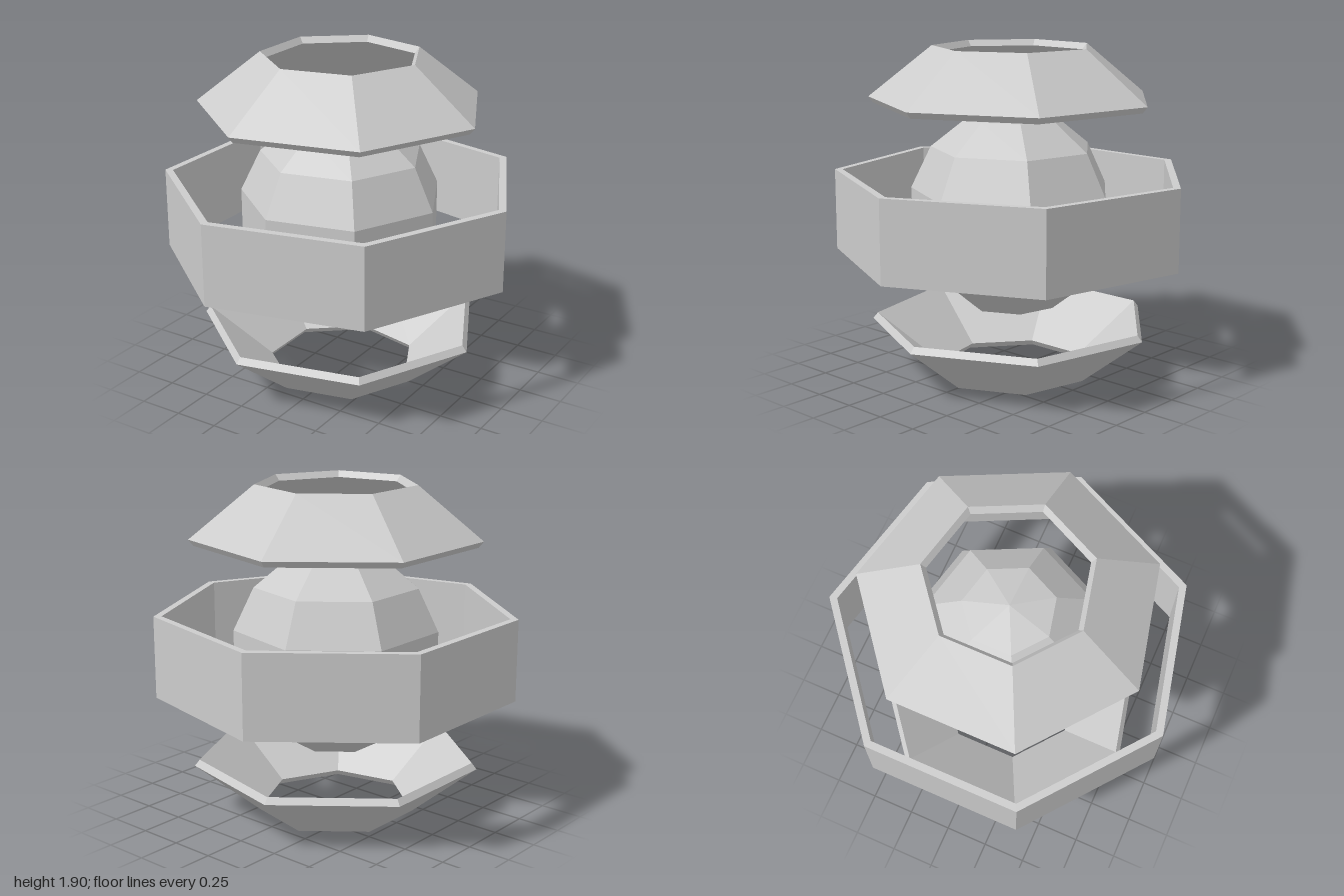
import * as THREE from 'three';

const SIDES = 7;              // everything is a seven-sided, seven-step sphere
const STEP = Math.PI / SIDES;
const SHELL_RADIUS = 1.052;
const CORE_RADIUS = 0.6;
const THICKNESS = 0.045;
const CENTRE_X = -0.05;       // a heptagon's axis is off the middle of its bounds

export function createModel() {
  const model = new THREE.Group();
  model.name = 'shelledSphere';
  const material = new THREE.MeshStandardMaterial({ color: 0xcccccc, flatShading: true });
  const centreY = SHELL_RADIUS * Math.cos(STEP);

  const add = (name, geometry) => {
    const mesh = new THREE.Mesh(geometry, material);
    mesh.name = name;
    mesh.position.set(CENTRE_X, centreY, 0);
    model.add(mesh);
    return mesh;
  };

  // Solid band of the outer shell between polar steps k and k + 1
  const shellBand = (name, k) => {
    const at = (angle, r) => new THREE.Vector2(Math.sin(angle) * r, Math.cos(angle) * r);
    const bottom = at((k + 1) * STEP, SHELL_RADIUS);
    const top = at(k * STEP, SHELL_RADIUS);
    const inward = at((k + 0.5) * STEP, -THICKNESS);
    const profile = [bottom, top, top.clone().add(inward), bottom.clone().add(inward), bottom.clone()];
    add(name, new THREE.LatheGeometry(profile, SIDES, Math.PI / 2));
  };

  shellBand('upperBand', 1);
  shellBand('middleBand', 3);
  shellBand('lowerBand', 5);

  // Faceted core, turned so a corner points to +x like the bands
  add('core', new THREE.SphereGeometry(CORE_RADIUS, SIDES, SIDES)).rotation.y = Math.PI;

  return model;
}
